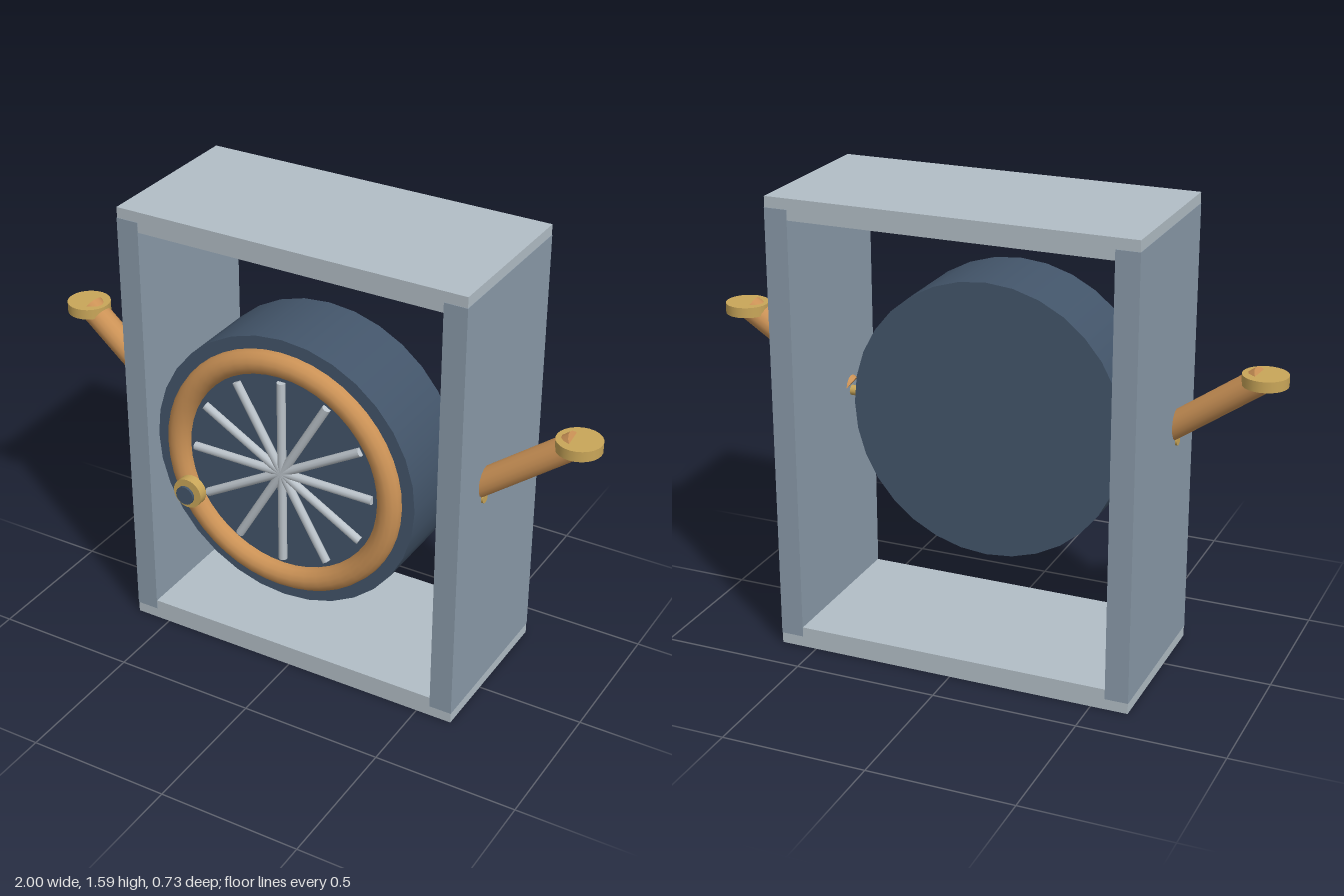
import * as THREE from 'three';

const paint = (name, color) => {
  const m = new THREE.MeshStandardMaterial({ color });
  m.name = name;
  return m;
};

export function createModel() {
  const model = new THREE.Group();
  model.name = 'framedDrum';
  const paleSteel = paint('paleSteel', 0xb2bec6);
  const blueSteel = paint('blueSteel', 0x8a9aa9);
  const slate = paint('slate', 0x43556a);
  const copper = paint('copper', 0xcb9256);
  const brass = paint('brass', 0xc9a659);
  const silver = paint('silver', 0xbcc4cb);

  const add = (name, geometry, material, x = 0, y = 0, z = 0) => {
    const mesh = new THREE.Mesh(geometry, material);
    mesh.name = name;
    mesh.position.set(x, y, z);
    model.add(mesh);
    return mesh;
  };

  // Round bar between two points
  const up = new THREE.Vector3(0, 1, 0);
  const rod = (name, a, b, radius, material, sides = 16) => {
    const start = new THREE.Vector3(...a);
    const span = new THREE.Vector3(...b).sub(start);
    const mesh = add(name, new THREE.CylinderGeometry(radius, radius, span.length(), sides), material);
    mesh.position.copy(start).addScaledVector(span, 0.5);
    mesh.quaternion.setFromUnitVectors(up, span.normalize());
    return mesh;
  };

  const hubY = 0.8;
  const frameZ = -0.073;

  // Open frame: two slabs, with side panels let into them
  add('frameBottom', new THREE.BoxGeometry(1.256, 0.072, 0.585), paleSteel, 0, 0.036, frameZ);
  add('frameTop', new THREE.BoxGeometry(1.256, 0.072, 0.585), paleSteel, 0, 1.549, frameZ);
  for (const side of [-1, 1]) {
    add('frameSide', new THREE.BoxGeometry(0.08, 1.51, 0.588), blueSteel, side * 0.589, 0.793, frameZ);
  }

  // Drum, facing the front
  rod('drum', [0, hubY, -0.055], [0, hubY, 0.245], 0.485, slate, 32);

  // Ring and twelve spokes on the drum face
  add('ring', new THREE.TorusGeometry(0.398, 0.042, 14, 48), copper, 0, hubY, 0.245);
  for (let i = 0; i < 12; i++) {
    const angle = (i * Math.PI) / 6;
    rod('spoke', [0, hubY, 0.25],
      [0.335 * Math.cos(angle), hubY + 0.335 * Math.sin(angle), 0.25], 0.015, silver, 10);
  }

  // Small front knob with a dark cap
  rod('frontKnob', [-0.31, 0.672, 0.313], [-0.31, 0.672, 0.347], 0.053, brass, 24);
  rod('frontKnobCap', [-0.31, 0.672, 0.355], [-0.31, 0.672, 0.364], 0.033, slate, 20);

  // Axle pin, slanted arm and round grip on each side
  for (const side of [-1, 1]) {
    rod('axlePin', [side * 0.44, 0.797, 0.05], [side * 0.636, 0.797, 0.05], 0.018, brass, 12);
    rod('arm', [side * 0.56, 0.805, 0.05], [side * 0.917, 1.063, 0.012], 0.045, copper, 16);
    add('armGrip', new THREE.CylinderGeometry(0.075, 0.075, 0.036, 24), brass, side * 0.925, 1.064, 0.01);
  }
  return model;
}
